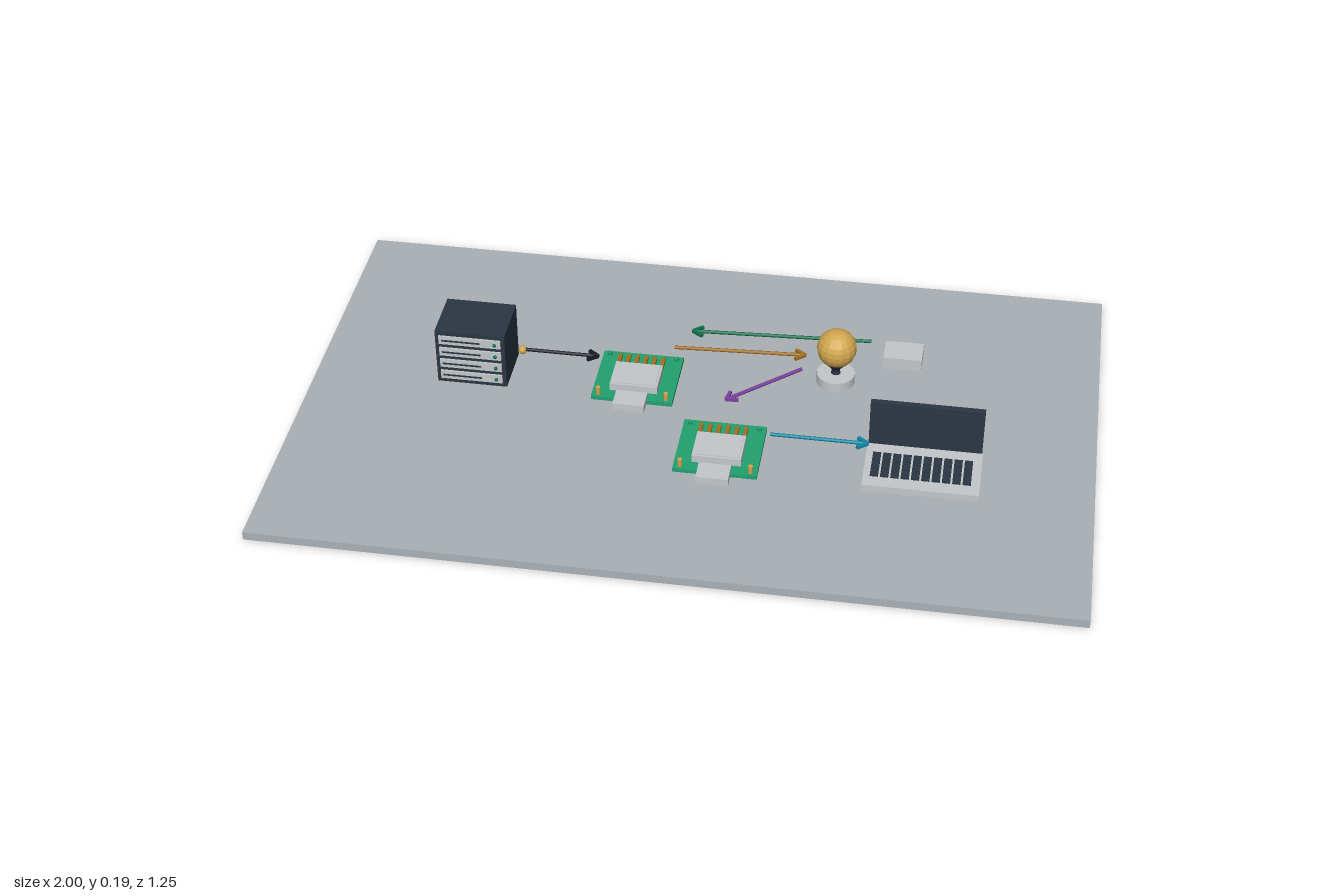
import * as THREE from 'three';

const mat = (name, color) => {
  const m = new THREE.MeshStandardMaterial({ color });
  m.name = name;
  return m;
};

export function createModel() {
  const M = {
    ground: mat('matte grey', 0xaab0b4),
    silver: mat('silver', 0xc3c7ca),
    navy: mat('dark navy', 0x2b3644),
    gold: mat('gold', 0xd2a650),
    board: mat('board green', 0x22a070),
    black: mat('near black', 0x171b22),
    purple: mat('purple', 0x7b3fa0),
    cyan: mat('teal blue', 0x0b87a5),
    amber: mat('amber brown', 0xa06e22),
    forest: mat('forest green', 0x11704e),
  };
  const root = new THREE.Group();
  root.name = 'networkDiorama';

  const add = (parent, name, geo, material, x, y, z) => {
    const m = new THREE.Mesh(geo, material);
    m.name = name;
    m.position.set(x, y, z);
    parent.add(m);
    return m;
  };
  // Box given by its min and max on each axis
  const box = (parent, name, material, x0, x1, y0, y1, z0, z1) =>
    add(parent, name, new THREE.BoxGeometry(x1 - x0, y1 - y0, z1 - z0), material,
      (x0 + x1) / 2, (y0 + y1) / 2, (z0 + z1) / 2);
  const group = (name, x = 0, y = 0, z = 0) => {
    const g = new THREE.Group();
    g.name = name;
    g.position.set(x, y, z);
    root.add(g);
    return g;
  };

  box(root, 'basePlate', M.ground, -1, 1, 0, 0.022, -0.625, 0.625);

  // Server cabinet with four drive bays
  const server = group('server');
  box(server, 'cabinet', M.navy, -0.677, -0.497, 0.03, 0.187, -0.157, -0.015);
  for (let i = 0; i < 4; i++) {
    const y = 0.055 + i * 0.036;
    box(server, 'driveBay', M.silver, -0.667, -0.507, y - 0.012, y + 0.012, -0.015, -0.01);
    box(server, 'baySlot', M.navy, -0.66, -0.56, y - 0.002, y + 0.002, -0.01, -0.008);
    add(server, 'bayLight', new THREE.SphereGeometry(0.005, 8, 6), M.forest, -0.522, y, -0.008);
  }
  add(server, 'sideConnector', new THREE.SphereGeometry(0.011, 12, 8), M.gold, -0.468, 0.1, -0.085);

  // Two identical circuit boards
  const circuitBoard = (x, z) => {
    const g = group('circuitBoard', x, 0, z);
    box(g, 'board', M.board, -0.104, 0.104, 0.036, 0.047, -0.097, 0.097);
    box(g, 'chip', M.silver, -0.061, 0.061, 0.047, 0.067, -0.03, 0.066);
    box(g, 'chipLid', M.silver, -0.055, 0.055, 0.067, 0.069, -0.024, 0.06);
    box(g, 'port', M.silver, -0.04, 0.04, 0.044, 0.064, 0.085, 0.142);
    for (let i = 0; i < 6; i++) {
      const px = -0.058 + i * 0.0225;
      box(g, 'pin', M.amber, px - 0.005, px + 0.005, 0.047, 0.055, -0.08, -0.037);
    }
    for (const s of [-1, 1]) {
      add(g, 'stud', new THREE.CylinderGeometry(0.006, 0.006, 0.021, 10), M.gold, s * 0.087, 0.0575, 0.085);
      add(g, 'rearStud', new THREE.CylinderGeometry(0.006, 0.006, 0.008, 10), M.board, s * 0.087, 0.051, -0.082);
    }
  };
  circuitBoard(-0.17, -0.087);
  circuitBoard(0.08, 0.165);

  // Faceted globe on a flared stand
  const globe = group('globe', 0.33, 0, -0.17);
  const ball = new THREE.SphereGeometry(0.051, 16, 12);
  const globeMat = M.gold;
  globeMat.name = 'gold';
  add(globe, 'ball', ball.toNonIndexed(), globeMat, 0, 0.134, 0).geometry.computeVertexNormals();
  const neck = [[0.014, 0.05], [0.011, 0.062], [0.011, 0.07], [0.026, 0.088], [0.03, 0.094]]
    .map(([r, y]) => new THREE.Vector2(r, y));
  add(globe, 'neck', new THREE.LatheGeometry(neck, 16), M.navy, 0, 0, 0);
  add(globe, 'foot', new THREE.CylinderGeometry(0.049, 0.049, 0.027, 24), M.silver, 0, 0.0425, 0);

  // Small wireless box
  box(group('smallDevice'), 'case', M.silver, 0.447, 0.545, 0.05, 0.083, -0.289, -0.215);

  // Laptop: deck, keys, upright screen
  const laptop = group('laptop');
  box(laptop, 'deck', M.silver, 0.438, 0.722, 0.03, 0.048, 0.085, 0.256);
  box(laptop, 'lid', M.navy, 0.44, 0.72, 0.03, 0.174, 0.077, 0.093);
  box(laptop, 'display', M.navy, 0.45, 0.71, 0.055, 0.164, 0.093, 0.096);
  for (let c = 0; c < 10; c++) for (let r = 0; r < 3; r++) {
    const kx = 0.455 + c * 0.025, kz = 0.131 + r * 0.031;
    box(laptop, 'key', M.navy, kx, kx + 0.02, 0.048, 0.053, kz, kz + 0.027);
  }

  // Flow arrows with an open chevron tip, from (x0, z0) to (x1, z1)
  const arrow = (name, material, x0, z0, x1, z1) => {
    const g = group(name, x1, 0.102, z1);
    g.rotation.y = -Math.atan2(z1 - z0, x1 - x0);
    const len = Math.hypot(x1 - x0, z1 - z0);
    add(g, 'shaft', new THREE.CylinderGeometry(0.0045, 0.0045, len, 8), material, -len / 2, 0, 0)
      .rotation.z = Math.PI / 2;
    for (const s of [-1, 1]) {
      add(g, 'tip', new THREE.BoxGeometry(0.032, 0.008, 0.008), material, -0.012, 0, s * 0.009)
        .rotation.y = s * 0.65;
    }
  };
  arrow('serverArrow', M.black, -0.46, -0.085, -0.272, -0.085);
  arrow('boardToGlobeArrow', M.amber, -0.085, -0.152, 0.25, -0.17);
  arrow('deviceArrow', M.forest, 0.412, -0.254, -0.048, -0.229);
  arrow('globeToBoardArrow', M.purple, 0.248, -0.11, 0.077, 0.042);
  arrow('laptopArrow', M.cyan, 0.203, 0.163, 0.442, 0.163);

  return root;
}
